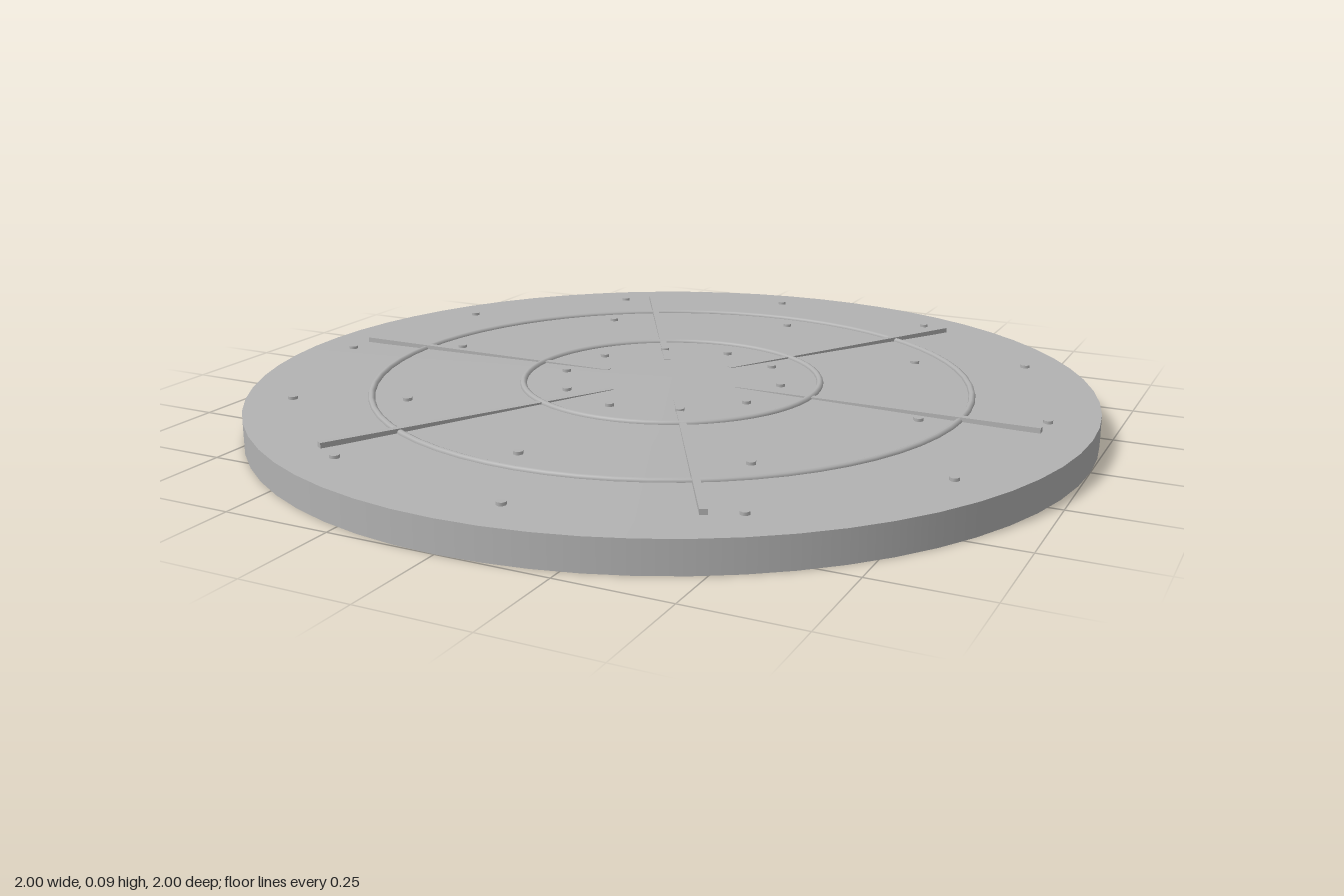
import * as THREE from 'three';

const RIM_Y = 0.072, PEAK_Y = 0.088;
// Height of the shallow conical lid at a given radius
const lidY = (r) => PEAK_Y + (RIM_Y - PEAK_Y) * r;

export function createModel() {
  const group = new THREE.Group();
  const metal = new THREE.MeshStandardMaterial({ color: 0xb2b2b2, side: THREE.DoubleSide });
  metal.name = 'grey metal';

  const add = (name, geometry, parent = group) => {
    const mesh = new THREE.Mesh(geometry, metal);
    mesh.name = name;
    parent.add(mesh);
    return mesh;
  };

  // Shallow lid and its skirt, open underneath
  const lid = [[1, RIM_Y], [0.5, lidY(0.5)], [0, PEAK_Y]].map(([x, y]) => new THREE.Vector2(x, y));
  add('lid', new THREE.LatheGeometry(lid, 64));
  add('skirt', new THREE.CylinderGeometry(1, 1, RIM_Y, 64, 1, true)).position.y = RIM_Y / 2;

  // Raised rings that also show on the underside
  for (const [name, r] of [['innerRing', 0.355], ['outerRing', 0.71]]) {
    const ring = add(name, new THREE.TorusGeometry(r, 0.008, 8, 64));
    ring.rotation.x = Math.PI / 2;
    ring.position.y = lidY(r);
  }

  // Six level spokes cutting through the sloping lid
  const spokes = new THREE.Group();
  spokes.name = 'spokes';
  group.add(spokes);
  const spokeGeometry = new THREE.BoxGeometry(0.72, 0.012, 0.016).translate(0.53, 0.0805, 0);
  for (let i = 0; i < 6; i++) add('spoke', spokeGeometry, spokes).rotation.y = (i * Math.PI) / 3;

  // Circles of small rivets: radius, count, starting angle in degrees
  const rivetGeometry = new THREE.CylinderGeometry(0.011, 0.011, 0.014, 8);
  const circles = [['innerRivets', 0.265, 10, 12], ['middleRivets', 0.63, 8, -4], ['outerRivets', 0.89, 12, 5]];
  for (const [name, r, count, start] of circles) {
    const circle = new THREE.Group();
    circle.name = name;
    group.add(circle);
    for (let i = 0; i < count; i++) {
      const a = THREE.MathUtils.degToRad(start + (360 * i) / count);
      add('rivet', rivetGeometry, circle).position.set(r * Math.cos(a), lidY(r), -r * Math.sin(a));
    }
  }
  return group;
}
